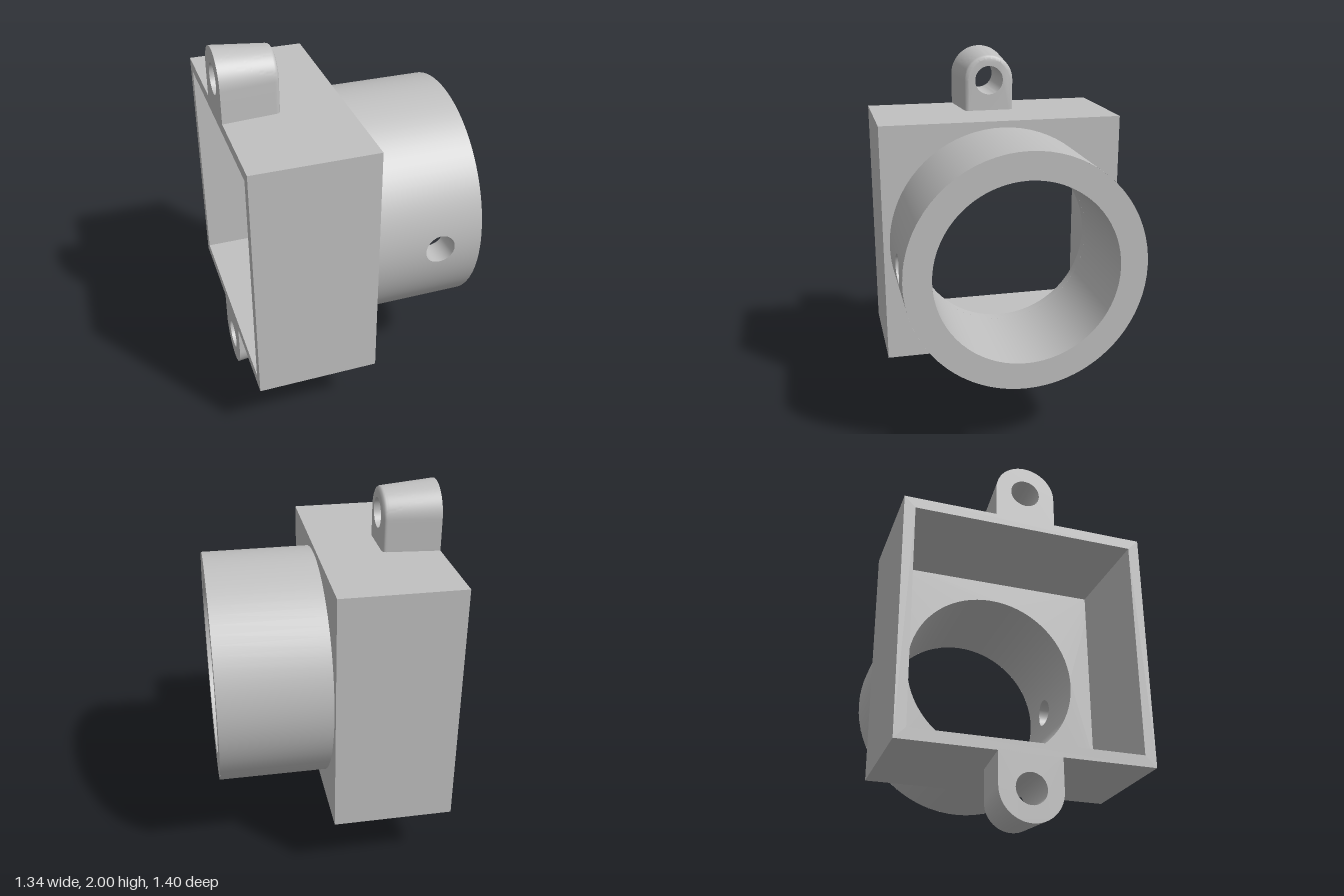
import * as THREE from 'three';
import { toCreasedNormals } from 'three/addons/utils/BufferGeometryUtils.js';
import { ParametricGeometry } from 'three/addons/geometries/ParametricGeometry.js';

const HALF = 0.665, WALL = 0.06, DEPTH = 0.645; // square housing
const R_OUT = 0.63, R_IN = 0.485, LENGTH = 0.585; // round tube
const PORT_X = 0.355, PORT_R = 0.08, PATCH = 0.5; // side port and its wall patch (radians)

export function createModel() {
  const model = new THREE.Group();
  model.name = 'tubeHousing';
  const body = new THREE.Group();
  body.name = 'body';
  body.position.set(0.03, 1, 0.0175);
  body.rotation.y = -0.088;
  model.add(body);

  const grey = new THREE.MeshStandardMaterial({ color: 0xc0c0c0, side: THREE.DoubleSide });
  grey.name = 'grey';

  const add = (name, geometry) => {
    const mesh = new THREE.Mesh(geometry, grey);
    mesh.name = name;
    body.add(mesh);
    return mesh;
  };
  const surface = (fn, nu, nv) => new ParametricGeometry((u, v, p) => p.set(...fn(u, v)), nu, nv);
  const lerp = THREE.MathUtils.lerp;

  // Point on a rectangle's outline, u = 0..1, with corners at quarter steps
  const onRect = (u, x0, x1, y0, y1) => {
    const c = [[x0, y0], [x1, y0], [x1, y1], [x0, y1]];
    const k = Math.min(3, Math.floor(u * 4)), t = u * 4 - k;
    const a = c[k], b = c[(k + 1) % 4];
    return [lerp(a[0], b[0], t), lerp(a[1], b[1], t)];
  };
  const square = (h) => {
    const s = new THREE.Shape();
    s.moveTo(-h, -h).lineTo(h, -h).lineTo(h, h).lineTo(-h, h).closePath();
    return s;
  };
  const circle = (r) => new THREE.Path().absarc(0, 0, r, 0, Math.PI * 2, true);

  // Housing: square sleeve open at the back, closed by a bored front plate of equal thickness
  const sleeve = square(HALF);
  sleeve.holes.push(square(HALF - WALL));
  add('housingWalls', new THREE.ExtrudeGeometry(sleeve, { depth: DEPTH - WALL, bevelEnabled: false })
    .rotateY(Math.PI / 2).translate(-DEPTH, 0, 0));

  const plate = square(HALF);
  plate.holes.push(circle(R_IN));
  const plateGeometry = new THREE.ExtrudeGeometry(plate, {
    depth: WALL, curveSegments: 36, bevelEnabled: false,
  });
  add('housingFront', toCreasedNormals(plateGeometry.rotateY(Math.PI / 2).translate(-WALL, 0, 0), 0.7));

  // Tube walls: a long bent sheet plus a patch with the port cut out
  const bend = (x, a, r) => [x, r * Math.sin(a), r * Math.cos(a)];
  const portEdge = (u, r) => {
    const [x, a] = onRect(u, 0, LENGTH, -PATCH, PATCH);
    const dx = x - PORT_X, dy = a * R_OUT, k = PORT_R / Math.hypot(dx, dy);
    return { x, a, px: PORT_X + dx * k, pa: Math.asin((dy * k) / r) };
  };
  for (const [name, r] of [['tubeOuter', R_OUT], ['tubeBore', R_IN]]) {
    add(name, surface((u, v) =>
      bend(v * LENGTH, lerp(PATCH, Math.PI * 2 - PATCH, u), r), 64, 1));
    add(name + 'PortPatch', surface((u, v) => {
      const e = portEdge(u, r);
      return bend(lerp(e.px, e.x, v), lerp(e.pa, e.a, v), r);
    }, 64, 8));
  }
  add('portWall', surface((u, v) => {
    const o = portEdge(u, R_OUT), i = portEdge(u, R_IN);
    const p = bend(o.px, o.pa, R_OUT), q = bend(i.px, i.pa, R_IN);
    return p.map((n, j) => lerp(n, q[j], v));
  }, 64, 1));
  add('tubeRim', new THREE.RingGeometry(R_IN, R_OUT, 72).rotateY(Math.PI / 2).translate(LENGTH, 0, 0));

  // Mounting lugs: rounded tabs that widen towards the back, with a bolt hole
  const LUG_Y = 0.835, BACK_R = 0.165, FRONT_R = 0.138, FACE_R = 0.118;
  const LUG_DEPTH = 0.305, EDGE = FRONT_R - FACE_R;
  const tab = new THREE.Shape();
  tab.moveTo(-FACE_R, -0.18).lineTo(FACE_R, -0.18).lineTo(FACE_R, 0);
  tab.absarc(0, 0, FACE_R, 0, Math.PI, false);
  tab.closePath();
  tab.holes.push(circle(0.08));
  const lug = new THREE.ExtrudeGeometry(tab, {
    depth: LUG_DEPTH, steps: 45, curveSegments: 24, bevelEnabled: false,
  });
  const pos = lug.attributes.position;
  for (let i = 0; i < pos.count; i++) {
    const x = pos.getX(i), y = pos.getY(i), z = pos.getZ(i);
    if (Math.hypot(x, y) < 0.1) continue; // keep the bolt hole straight
    const t = Math.max(0, (z - LUG_DEPTH + EDGE) / EDGE);
    const round = EDGE * (1 - Math.sqrt(Math.max(0, 1 - t * t)));
    const k = (lerp(BACK_R, FRONT_R, z / LUG_DEPTH) - round) / FACE_R;
    pos.setXY(i, x * k, y > 0 ? y * k : y);
  }
  lug.rotateY(Math.PI / 2).translate(-DEPTH, LUG_Y, 0);
  const lugGeometry = toCreasedNormals(lug, 0.7);
  add('topLug', lugGeometry);
  add('bottomLug', lugGeometry).rotation.x = Math.PI;

  return model;
}
